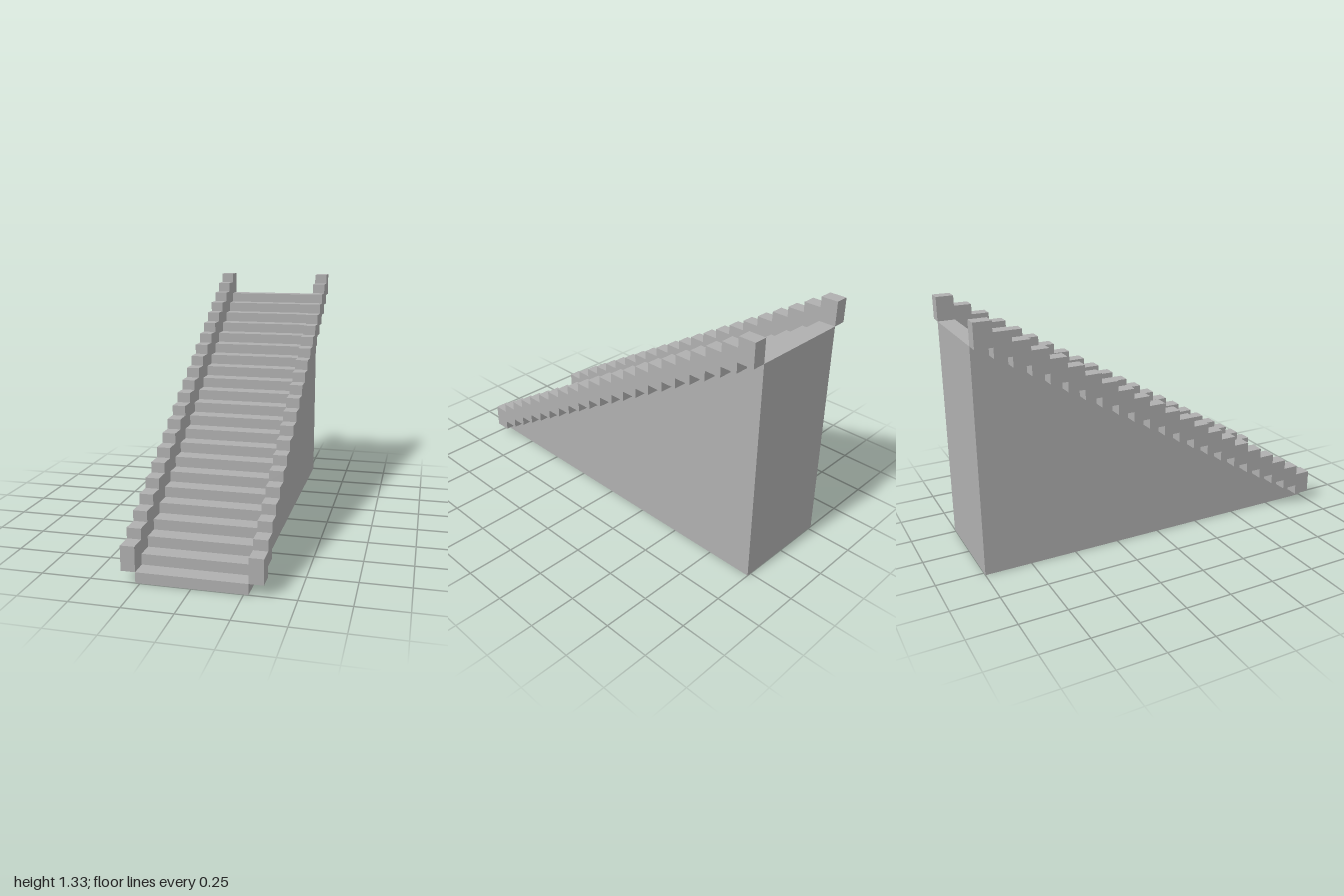
import * as THREE from 'three';

const STEPS = 22;
const RISE = 1.2 / STEPS;
const RUN = 2 / STEPS;
const HALF_WIDTH = 0.273;
const RAIL_WIDTH = 0.072;
const RAIL_HEIGHT = 0.127;

// Stepped line climbing from the front (z = 1) to the back (z = -1), as [z, y] points
function stepLine(lift) {
  const points = [];
  for (let i = 0; i < STEPS; i++) {
    const y = (i + 1) * RISE + lift;
    points.push(new THREE.Vector2(1 - i * RUN, y), new THREE.Vector2(1 - (i + 1) * RUN, y));
  }
  return points;
}

// Extrude a side profile across x, centred on x = 0
function extrudeAcross(points, width) {
  const geometry = new THREE.ExtrudeGeometry(new THREE.Shape(points), {
    depth: width, bevelEnabled: false, steps: 1,
  });
  geometry.translate(0, 0, -width / 2);
  geometry.rotateY(-Math.PI / 2);
  return geometry;
}

export function createModel() {
  const group = new THREE.Group();
  const stone = new THREE.MeshStandardMaterial({ color: 0xb0b0b0 });
  stone.name = 'grey stone';

  // Solid flight of steps
  const flightProfile = [...stepLine(0), new THREE.Vector2(-1, 0), new THREE.Vector2(1, 0)];
  const flight = new THREE.Mesh(extrudeAcross(flightProfile, HALF_WIDTH * 2), stone);
  flight.name = 'stairFlight';
  group.add(flight);

  // Stepped side walls, hung on the outside of the flight
  const wallProfile = [...stepLine(RAIL_HEIGHT), ...stepLine(0).reverse()];
  const wallGeometry = extrudeAcross(wallProfile, RAIL_WIDTH);
  for (const [name, side] of [['leftSideWall', 1], ['rightSideWall', -1]]) {
    const wall = new THREE.Mesh(wallGeometry, stone);
    wall.name = name;
    wall.position.x = side * (HALF_WIDTH + RAIL_WIDTH / 2);
    group.add(wall);
  }

  return group;
}
